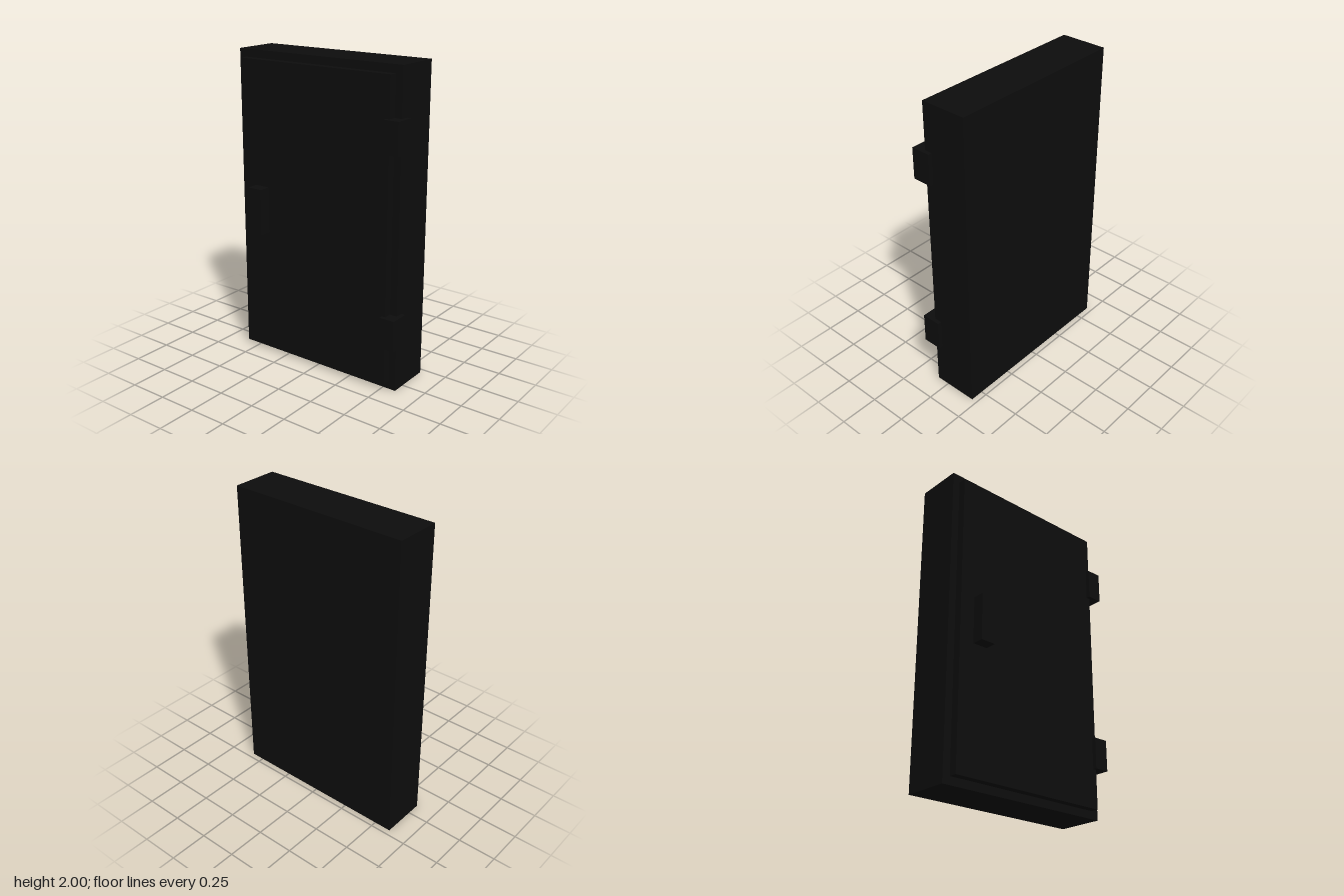
import * as THREE from 'three';

export function createModel() {
  const model = new THREE.Group();
  model.name = 'wallCabinet';

  const black = new THREE.MeshStandardMaterial({ color: 0x0d0d0d });
  black.name = 'matte black';

  // Box given by its minimum and maximum on each axis
  function box(name, [x0, x1], [y0, y1], [z0, z1]) {
    const mesh = new THREE.Mesh(new THREE.BoxGeometry(x1 - x0, y1 - y0, z1 - z0), black);
    mesh.position.set((x0 + x1) / 2, (y0 + y1) / 2, (z0 + z1) / 2);
    mesh.name = name;
    model.add(mesh);
  }

  // Cabinet body and the slightly smaller door on its front
  box('body', [-0.6125, 0.5875], [0, 2], [-0.2125, 0.0875]);
  box('door', [-0.5625, 0.5375], [0.05, 1.95], [0.0875, 0.1375]);

  // Upright handle block on the opening side
  box('handle', [-0.4625, -0.3625], [0.85, 1.15], [0.1375, 0.2125]);

  // Two hinges wrapping the edge of the body
  [['lowerHinge', 0.4], ['upperHinge', 1.6]].forEach(([name, y]) =>
    box(name, [0.5125, 0.6125], [y - 0.1, y + 0.1], [0.0375, 0.1625]));

  return model;
}
